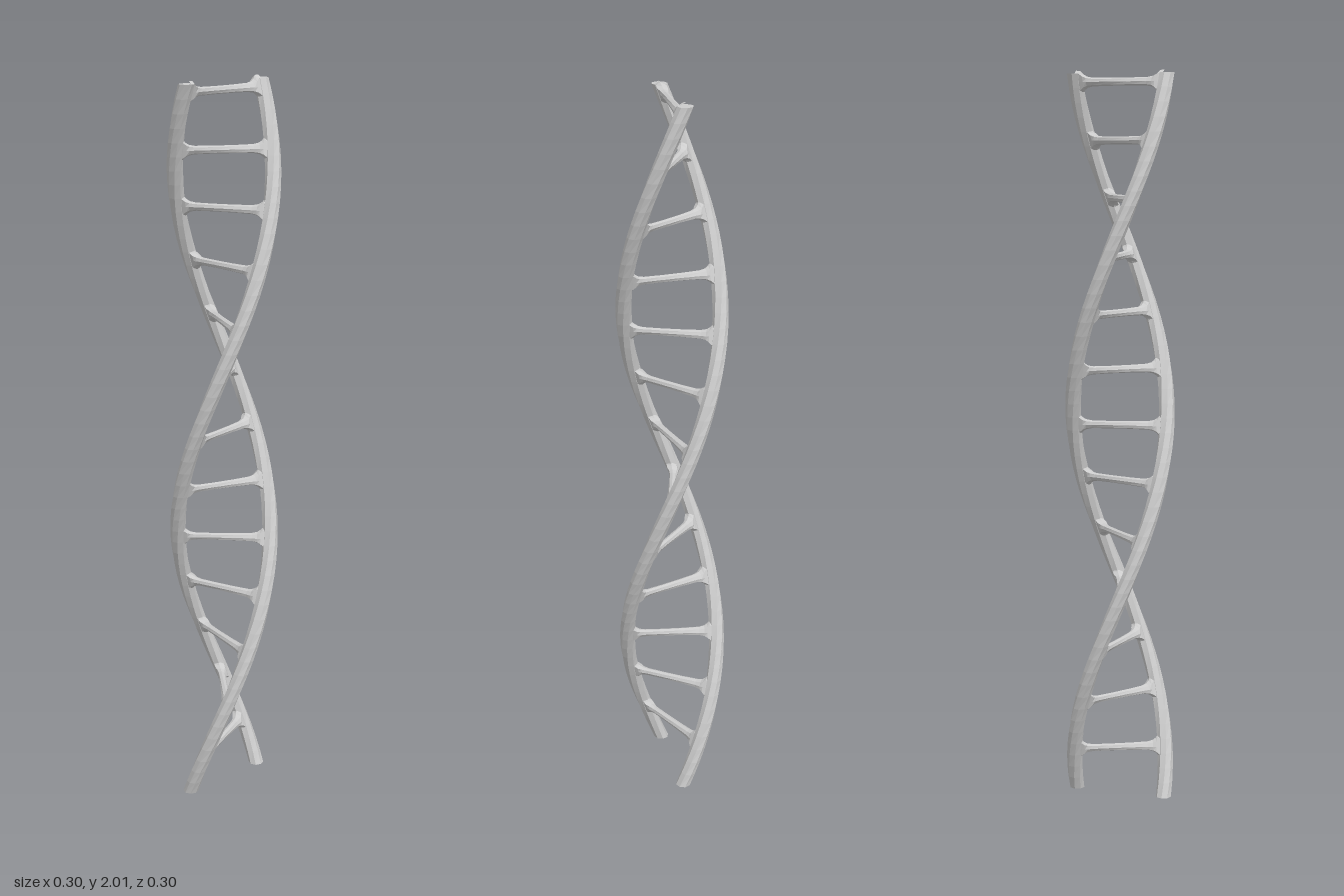
import * as THREE from 'three';

const HEIGHT = 2;
const TWIST = Math.PI;      // radians turned per unit of height
const HELIX_RADIUS = 0.1285;
const STRAND_RADIUS = 0.0215;

// Upright octagonal bar, offset from the axis and twisted around it
function strandGeometry() {
  const geo = new THREE.CylinderGeometry(STRAND_RADIUS, STRAND_RADIUS, HEIGHT, 8, 52);
  geo.translate(HELIX_RADIUS, HEIGHT / 2, 0);
  const pos = geo.attributes.position;
  const v = new THREE.Vector3();
  const up = new THREE.Vector3(0, 1, 0);
  for (let i = 0; i < pos.count; i++) {
    v.fromBufferAttribute(pos, i).applyAxisAngle(up, TWIST * v.y);
    pos.setXYZ(i, v.x, v.y, v.z);
  }
  geo.computeVertexNormals();
  return geo;
}

// Thin bar along x whose ends flare along the strands they meet
function rungGeometry() {
  const half = [[0.0105, 0.03], [0.0115, 0.078], [0.0145, 0.093], [0.02, 0.102], [0.029, 0.11], [0.03, 0.122]];
  const profile = [
    ...half.map(([r, x]) => new THREE.Vector2(r, -x)).reverse(),
    ...half.map(([r, x]) => new THREE.Vector2(r, x)),
  ];
  const geo = new THREE.LatheGeometry(profile, 8);
  geo.rotateZ(-Math.PI / 2);
  const pos = geo.attributes.position;
  for (let i = 0; i < pos.count; i++) {
    const x = pos.getX(i), y = pos.getY(i);
    const z = THREE.MathUtils.clamp(pos.getZ(i), -0.014, 0.014);
    pos.setZ(i, z - TWIST * x * y); // lean with the helix
  }
  geo.computeVertexNormals();
  return geo;
}

export function createModel() {
  const model = new THREE.Group();
  model.name = 'doubleHelix';
  const material = new THREE.MeshStandardMaterial({ color: 0xcccccc, flatShading: true });

  // Two opposite strands
  const strand = strandGeometry();
  ['leftStrand', 'rightStrand'].forEach((name, i) => {
    const mesh = new THREE.Mesh(strand, material);
    mesh.name = name;
    mesh.rotation.y = i * Math.PI;
    model.add(mesh);
  });

  // Thirteen evenly spaced rungs following the twist
  const rungs = new THREE.Group();
  rungs.name = 'rungs';
  const rung = rungGeometry();
  for (let i = 0; i < 13; i++) {
    const mesh = new THREE.Mesh(rung, material);
    mesh.name = `rung${i + 1}`;
    mesh.position.y = 0.132 + i * 0.1538;
    mesh.rotation.y = TWIST * mesh.position.y;
    rungs.add(mesh);
  }
  model.add(rungs);
  return model;
}
